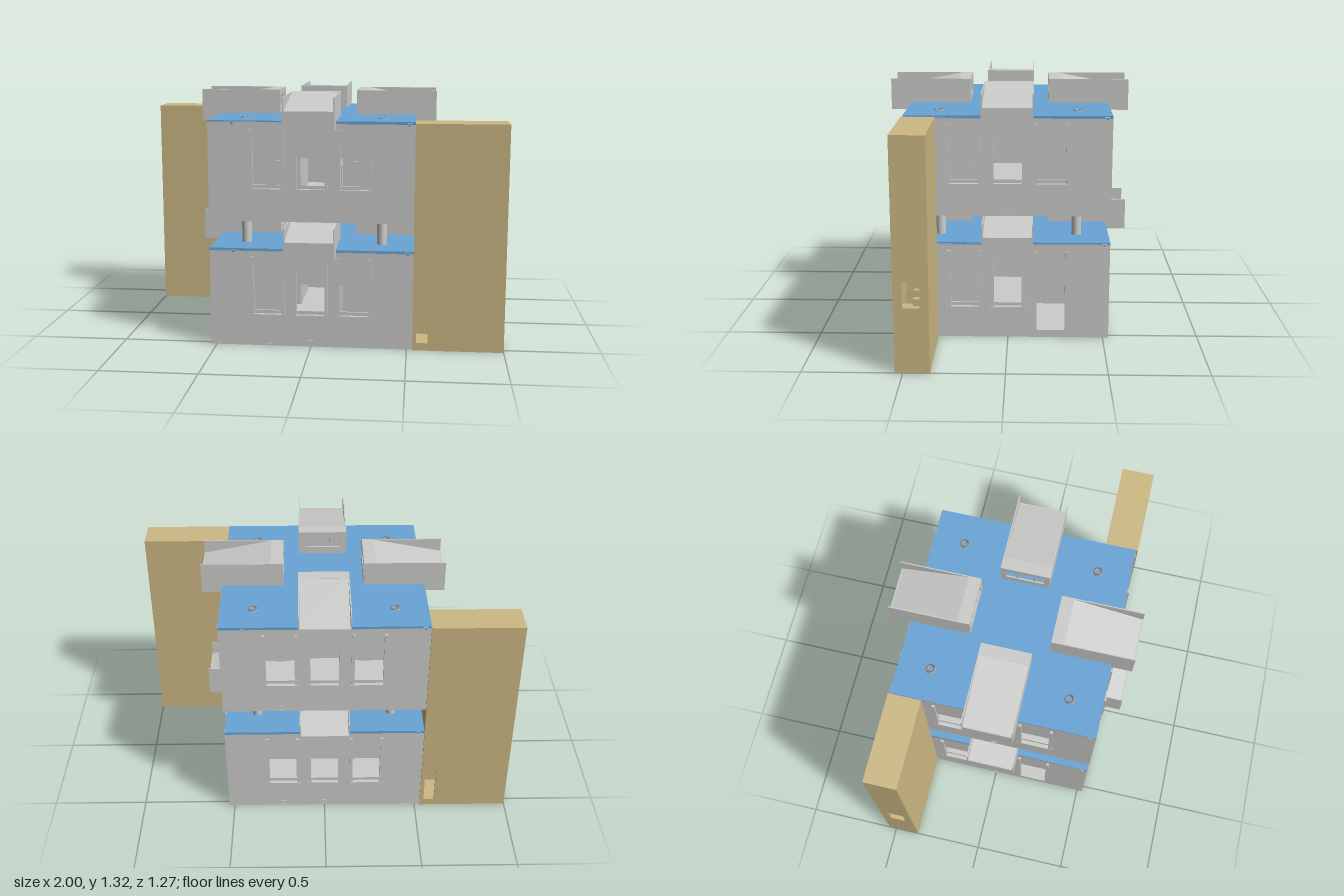
import * as THREE from 'three';

const grey = new THREE.MeshStandardMaterial({ color: 0xcccccb });
grey.name = 'concrete grey';
const blue = new THREE.MeshStandardMaterial({ color: 0x68a4d6 });
blue.name = 'roof blue';
const tan = new THREE.MeshStandardMaterial({ color: 0xcdb984 });
tan.name = 'tower tan';

const HALF = 0.53, HEIGHT = 0.52;

function add(parent, name, geometry, material) {
  const mesh = new THREE.Mesh(geometry, material);
  mesh.name = name;
  parent.add(mesh);
  return mesh;
}

// Box given by its minimum and maximum corners
function block(parent, name, material, x0, x1, y0, y1, z0, z1) {
  const mesh = add(parent, name, new THREE.BoxGeometry(x1 - x0, y1 - y0, z1 - z0), material);
  mesh.position.set((x0 + x1) / 2, (y0 + y1) / 2, (z0 + z1) / 2);
  return mesh;
}

function rect(target, x0, x1, y0, y1) {
  target.moveTo(x0, y0);
  target.lineTo(x1, y0);
  target.lineTo(x1, y1);
  target.lineTo(x0, y1);
  target.closePath();
  return target;
}

// Upright panel with rectangular holes, facing +z
function panel(parent, name, material, outline, holes, z, depth) {
  const shape = rect(new THREE.Shape(), ...outline);
  for (const h of holes) shape.holes.push(rect(new THREE.Path(), ...h));
  const mesh = add(parent, name, new THREE.ExtrudeGeometry(shape, { depth, bevelEnabled: false }), material);
  mesh.position.z = z;
  return mesh;
}

// Scoop on the roof edge: side walls, low outer wall, slope and slotted inner end
function makeHood() {
  const hood = new THREE.Group();
  hood.name = 'roofHood';
  const bottom = 0.485, top = 0.65, lip = 0.58, w = 0.13, t = 0.006;
  for (const s of [-1, 1]) {
    const x = s * (w - t / 2);
    block(hood, 'hoodSide', grey, x - t / 2, x + t / 2, bottom, top, 0.21, 0.637);
  }
  block(hood, 'hoodOuterWall', grey, -w, w, bottom, lip, 0.625, 0.637);
  block(hood, 'hoodUnderside', grey, -w, w, bottom, bottom + 0.01, HALF - 0.01, 0.637);
  block(hood, 'hoodCap', grey, -w, w, top - 0.008, top, 0.21, 0.275);
  panel(hood, 'hoodInnerWall', grey, [-w, w, HEIGHT, top], [[-0.1, 0.1, 0.56, 0.62]], 0.21, 0.008);
  block(hood, 'slotBack', grey, -w, w, HEIGHT, top - 0.01, 0.26, 0.265);
  for (const x of [-0.045, 0.045]) block(hood, 'slotBar', grey, x - 0.005, x + 0.005, 0.56, 0.62, 0.214, 0.222);
  // sloping plate as a thin extruded profile across the hood
  const profile = new THREE.Shape();
  profile.moveTo(0.27, top);
  profile.lineTo(0.63, lip);
  profile.lineTo(0.63, lip - 0.008);
  profile.lineTo(0.27, top - 0.008);
  profile.closePath();
  const slope = add(hood, 'hoodSlope', new THREE.ExtrudeGeometry(profile, { depth: 2 * w - 0.01, bevelEnabled: false }), grey);
  slope.rotation.y = -Math.PI / 2;
  slope.position.x = w - 0.005;
  return hood;
}

// One facade with three windows, drains and its hood
function makeSide(side, lower) {
  const g = new THREE.Group();
  g.name = 'facade';
  const holes = [], centres = [-0.225, 0, 0.225];
  for (const c of centres) {
    const door = lower && side % 2 === 1 && c > 0;
    holes.push([c - 0.074, c + 0.074, door ? 0.04 : 0.172, 0.335]);
    for (const s of [-1, 1]) {
      const x = c + s * 0.081;
      block(g, 'windowJamb', grey, x - 0.008, x + 0.008, 0.165, 0.478, HALF - 0.005, 0.541);
    }
    if (!door) {
      block(g, 'windowSill', grey, c - 0.092, c + 0.092, 0.163, 0.172, HALF - 0.005, 0.542);
      block(g, 'lowerSash', grey, c - 0.074, c + 0.074, 0.172, 0.19, 0.512, 0.522);
    }
  }
  panel(g, 'wall', grey, [-HALF, HALF, 0, HEIGHT - 0.004], holes, HALF - 0.02, 0.02);

  // drain outlets
  const low = side % 2 === 0 ? [0, -0.225] : [0];
  for (const x of low)
    panel(g, 'drainRim', grey, [x - 0.015, x + 0.015, 0.007, 0.035], [[x - 0.009, x + 0.009, 0.012, 0.03]], HALF, 0.004);
  const high = side % 2 === 0 ? [0.5, -0.405] : [0.5];
  for (const x of high) {
    panel(g, 'overflowRim', grey, [x - 0.01, x + 0.01, 0.497, 0.517], [[x - 0.006, x + 0.006, 0.501, 0.513]], HALF, 0.003);
    block(g, 'overflowOpening', blue, x - 0.006, x + 0.006, 0.501, 0.513, HALF, HALF + 0.001);
  }

  // partitions with doors flanking the central passage
  for (const s of [-1, 1]) {
    const a = s * 0.13, b = s * 0.5;
    block(g, 'partition', grey, Math.min(a, b), Math.max(a, b), 0.04, 0.5, 0.125, 0.135);
    block(g, 'innerDoor', grey, s * 0.2275 - 0.037, s * 0.2275 + 0.037, 0.04, 0.265, 0.135, 0.14);
  }
  g.add(makeHood());
  g.rotation.y = side * Math.PI / 2;
  return g;
}

function makeStorey(lower) {
  const g = new THREE.Group();
  g.name = lower ? 'lowerStorey' : 'upperStorey';
  block(g, 'floorSlab', grey, -HALF, HALF, 0, 0.04, -HALF, HALF);
  block(g, 'roofSlab', blue, -HALF, HALF, HEIGHT - 0.012, HEIGHT + 0.002, -HALF, HALF);
  for (let side = 0; side < 4; side++) g.add(makeSide(side, lower));
  // hollow columns come through the roof; small discs mark them below
  for (const x of [-0.36, 0.36]) for (const z of [-0.36, 0.36]) {
    const top = lower ? 0.666 : HEIGHT + 0.005;
    const pts = [[0.013, 0.04], [0.026, 0.04], [0.026, top], [0.013, top], [0.013, 0.04]];
    const column = add(g, 'column', new THREE.LatheGeometry(pts.map(p => new THREE.Vector2(...p)), 24), grey);
    column.geometry = column.geometry.toNonIndexed();
    column.position.set(x, 0, z);
    const foot = add(g, 'columnFoot', new THREE.CylinderGeometry(0.013, 0.013, 0.004, 16), grey);
    foot.position.set(x, 0.002, z);
  }
  return g;
}

// Hollow stair tower beside one corner
function makeTower() {
  const g = new THREE.Group();
  g.name = 'stairTower';
  const x0 = HALF, x1 = 1, z0 = 0.367, z1 = 0.54, h = 1.18, t = 0.012;
  panel(g, 'towerFront', tan, [x0, x1, 0, h], [[0.55, 0.608, 0.04, 0.262]], z1 - t, t);
  block(g, 'towerBack', tan, x0, x1, 0, h, z0, z0 + t);
  block(g, 'towerInnerWall', tan, x0, x0 + t, 0, h, z0, z1);
  block(g, 'towerRoof', tan, x0, x1, h - t, h, z0, z1);
  block(g, 'towerFloor', tan, x0, x1, 0.025, 0.04, z0, z1);
  const end = panel(g, 'towerEnd', tan, [-z1, -z0, 0, h], [[-0.495, -0.41, 0.335, 0.468]], 0, t);
  end.rotation.y = Math.PI / 2;
  end.position.x = x1 - t;

  // switchback stairs
  const mid = (z0 + z1) / 2, steps = 8, run = 0.034;
  for (let flight = 0; flight < 4; flight++) {
    const base = 0.04 + flight * 0.27, out = flight % 2 === 0;
    const za = out ? mid : z0 + t, zb = out ? z1 - t : mid;
    for (let i = 0; i < steps; i++) {
      const x = out ? 0.63 + i * run : 0.63 + (steps - 1 - i) * run;
      const y = base + (i + 1) * 0.27 / steps;
      block(g, 'stairStep', tan, x, x + run, y - 0.034, y, za, zb);
    }
    const lx = out ? 0.902 : x0 + t;
    block(g, 'stairLanding', tan, lx, lx + 0.086, base + 0.255, base + 0.27, z0 + t, z1 - t);
  }
  return g;
}

export function createModel() {
  const model = new THREE.Group();
  model.name = 'twoStoreyBuilding';
  const lower = makeStorey(true);
  const upper = makeStorey(false);
  upper.position.y = 0.665;
  const rightTower = makeTower();
  const leftTower = makeTower();
  leftTower.rotation.y = Math.PI;
  model.add(lower, upper, rightTower, leftTower);
  return model;
}
